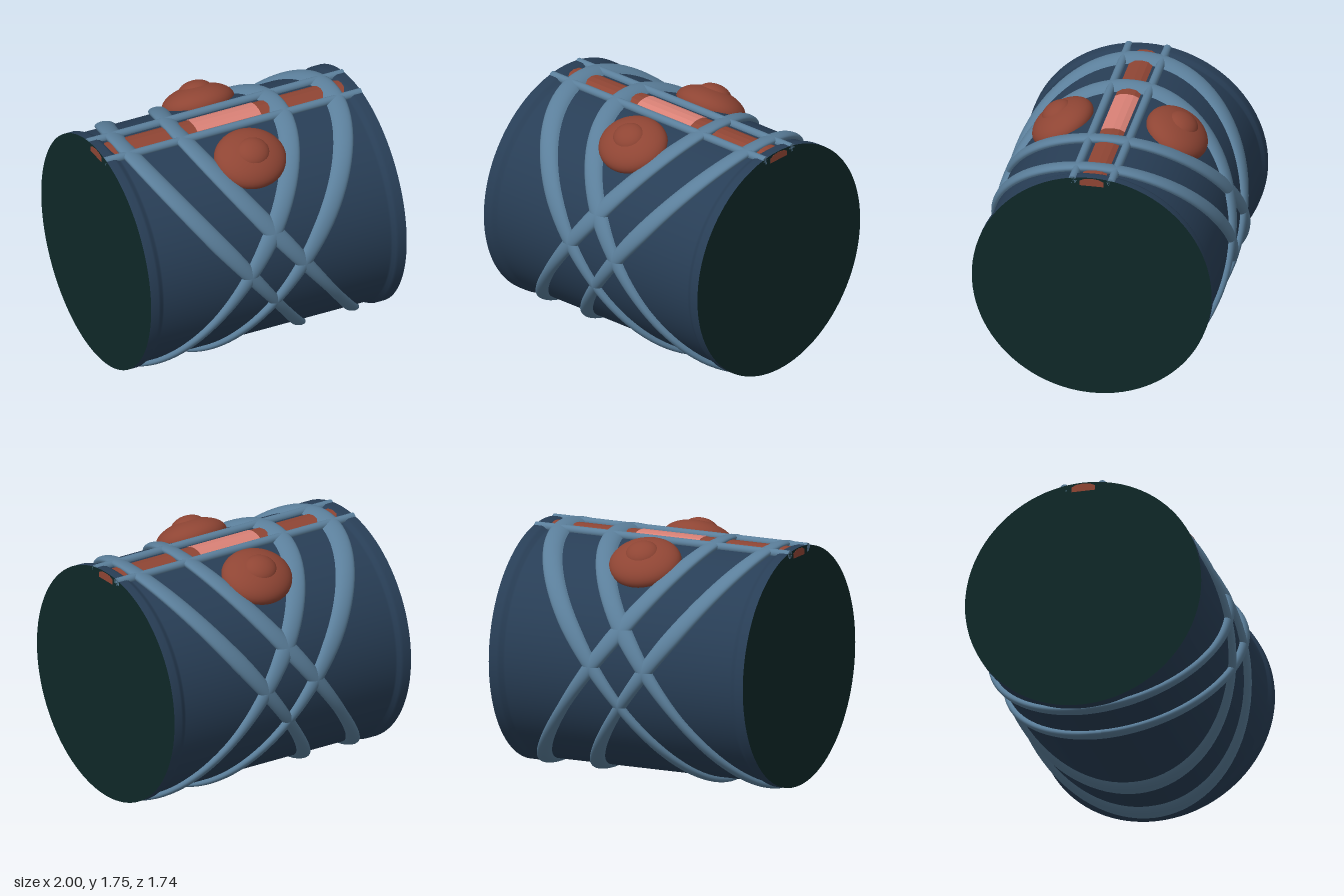
import * as THREE from 'three';

const AXIS_Y = 0.875;
const BODY_R = 0.83;

const mat = (name, color) => {
  const m = new THREE.MeshStandardMaterial({ color });
  m.name = name;
  return m;
};

// Revolve [x, radius] points about the x axis, with the seam underneath
function revolve(points, segments) {
  const g = new THREE.LatheGeometry(
    points.map(([x, r]) => new THREE.Vector2(r, x)), segments, Math.PI / 2);
  return g.rotateZ(-Math.PI / 2);
}

// Slanted hoop: a revolved rounded strip, sheared so it runs diagonally
function bandGeometry(xCentre, slope) {
  const profile = [];
  for (let i = 0; i <= 12; i++) {
    const a = Math.PI * (1 - i / 12);
    profile.push([Math.cos(a), 0.82 + 0.05 * Math.pow(Math.sin(a), 0.7)]);
  }
  const g = revolve(profile, 96);
  const p = g.attributes.position;
  for (let i = 0; i < p.count; i++) {
    const y = p.getY(i), z = p.getZ(i), r = Math.hypot(y, z);
    // strip is wider on the upper flanks and narrower on the lower ones
    const halfWidth = 0.065 + 0.018 * Math.abs(z / r) * THREE.MathUtils.clamp(3 * y / r, -1, 1);
    p.setX(i, xCentre + slope * y + p.getX(i) * halfWidth);
  }
  g.computeVertexNormals();
  return g;
}

// Low domed bar lying along the top of the drum
function barGeometry(length, lift) {
  const s = new THREE.Shape();
  [[-0.085, 0.79], [0.085, 0.79], [0.085, 0.826], [0.05, 0.843], [0, 0.848], [-0.05, 0.843], [-0.085, 0.826]]
    .forEach(([z, y], i) => (i ? s.lineTo(z, y + lift) : s.moveTo(z, y + lift)));
  const g = new THREE.ExtrudeGeometry(s, { depth: length, bevelEnabled: false });
  return g.translate(0, 0, -length / 2).rotateY(Math.PI / 2);
}

export function createModel() {
  const navy = mat('navy shell', 0x283e56);
  const steel = mat('steel blue trim', 0x5b7f9b);
  const rust = mat('rust red', 0x8f4534);
  const pink = mat('light coral', 0xd98176);
  const dark = mat('dark green end', 0x0f2828);

  const model = new THREE.Group();
  const drum = new THREE.Group();
  drum.name = 'drum';
  drum.position.y = AXIS_Y;
  model.add(drum);

  const add = (name, geometry, material, parent = drum) => {
    const m = new THREE.Mesh(geometry, material);
    m.name = name;
    parent.add(m);
    return m;
  };

  // Shell with flared lips
  add('shell', revolve([
    [-1, 0.855], [-0.94, 0.855], [-0.92, 0.848], [-0.9, 0.833], [-0.885, BODY_R],
    [0.885, BODY_R], [0.9, 0.833], [0.92, 0.848], [0.94, 0.855], [1, 0.855],
  ], 96), navy);

  // End discs
  for (const s of [-1, 1]) {
    const disc = add(s > 0 ? 'leftEnd' : 'rightEnd', new THREE.CircleGeometry(0.855, 96), dark);
    disc.rotation.y = s * Math.PI / 2;
    disc.position.x = s;
  }

  // Four crossing bands, two each way
  for (const s of [-1, 1]) {
    add('outerBand', bandGeometry(s * 0.178, s * 0.752), steel);
    add('innerBand', bandGeometry(-s * 0.24, s * 0.752), steel);
  }

  // Top bar with its bright central panel, and the rails beside it
  add('topBar', barGeometry(2.002, 0), rust);
  add('topPanel', barGeometry(0.5, 0.004), pink);
  for (const s of [-1, 1]) {
    const rail = add('rail', new THREE.CylinderGeometry(0.03, 0.03, 2, 16), steel);
    rail.rotation.z = Math.PI / 2;
    rail.position.set(0, 0.828, s * 0.137);
  }

  // Domed pods with a smaller cap, front and back
  for (const s of [-1, 1]) {
    const pod = new THREE.Group();
    pod.name = s > 0 ? 'frontPod' : 'backPod';
    pod.rotation.x = s * THREE.MathUtils.degToRad(29.5);
    drum.add(pod);
    const dome = add('podDome', new THREE.SphereGeometry(1, 40, 24), rust, pod);
    dome.scale.set(0.265, 0.13, 0.235);
    dome.position.y = 0.825;
    const cap = add('podCap', new THREE.SphereGeometry(1, 32, 20), rust, pod);
    cap.scale.set(0.125, 0.075, 0.115);
    cap.position.y = 0.91;
  }

  return model;
}
